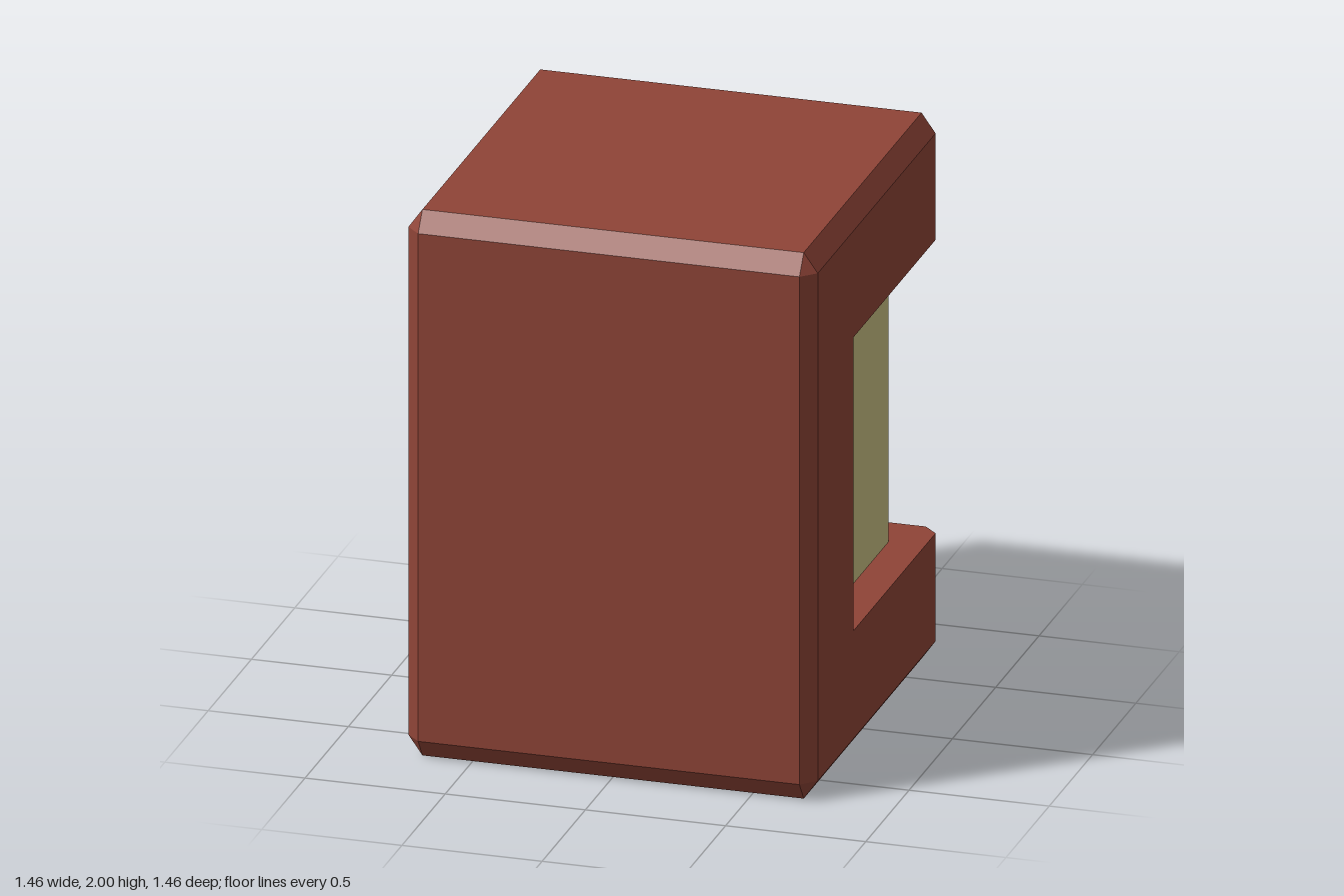
import * as THREE from 'three';

// Flat-sided skin stretched over a stack of rings with equal point counts.
function skin(rings, closed) {
  const pos = [];
  const tri = (a, b, c) => {
    const t = new THREE.Triangle(a, b, c);
    if (t.getArea() > 1e-7) for (const p of [a, b, c]) pos.push(p.x, p.y, p.z);
  };
  for (let i = 0; i < rings.length - 1; i++) {
    const lo = rings[i], hi = rings[i + 1], n = lo.length;
    for (let j = 0; j < (closed ? n : n - 1); j++) {
      const k = (j + 1) % n;
      tri(lo[j], lo[k], hi[k]);
      tri(lo[j], hi[k], hi[j]);
    }
  }
  const g = new THREE.BufferGeometry();
  g.setAttribute('position', new THREE.Float32BufferAttribute(pos, 3));
  g.computeVertexNormals();
  return g;
}

export function createModel() {
  const W = 0.73, C = 0.68;          // outer half width, and where its bevel starts
  const w = 0.6, c = 0.56;           // same for the page block
  const Z = 0.27;                    // inner face of the spine
  const Y = [0, 0.07, 0.465, 1.54, 1.93, 2];

  const red = new THREE.MeshStandardMaterial({ color: 0x8f4437, flatShading: true });
  const cream = new THREE.MeshStandardMaterial({ color: 0xcac284, flatShading: true });

  const ring = (outline, y) => outline.map(([x, z]) => new THREE.Vector3(x, y, z));
  const octagon = [[-C, W], [C, W], [W, C], [W, -C], [C, -W], [-C, -W], [-W, -C], [-W, C]];
  const square = octagon.map(([x, z]) => [Math.sign(x) * C, Math.sign(z) * C]);
  const centre = octagon.map(() => [0, 0]);
  // U-shaped outline around the open three sides
  const openSides = (a, b) => [[a, Z], [a, -b], [b, -a], [-b, -a], [-a, -b], [-a, Z]];
  const outer = openSides(W, C), inner = openSides(w, c);
  const spineOutline = [[-w, Z], [-W, Z], [-W, C], [-C, W], [C, W], [W, C], [W, Z], [w, Z]];

  const group = new THREE.Group();
  const add = (name, material, rings, closed = false) => {
    const m = new THREE.Mesh(skin(rings, closed), material);
    m.name = name;
    group.add(m);
  };

  // Bevelled covers at both ends
  add('lowerCover', red, [ring(centre, Y[0]), ring(square, Y[0]), ring(octagon, Y[1]), ring(octagon, Y[2])], true);
  add('upperCover', red, [ring(octagon, Y[3]), ring(octagon, Y[4]), ring(square, Y[5]), ring(centre, Y[5])], true);
  // Ledges where the covers overhang the pages
  add('lowerLedge', red, [ring(outer, Y[2]), ring(inner, Y[2])]);
  add('upperLedge', red, [ring(inner, Y[3]), ring(outer, Y[3])]);
  // Spine wall joining the covers
  add('spine', red, [ring(spineOutline, Y[2]), ring(spineOutline, Y[3])]);
  // Recessed page block
  add('pages', cream, [ring(inner, Y[2]), ring(inner, Y[3])]);
  return group;
}
